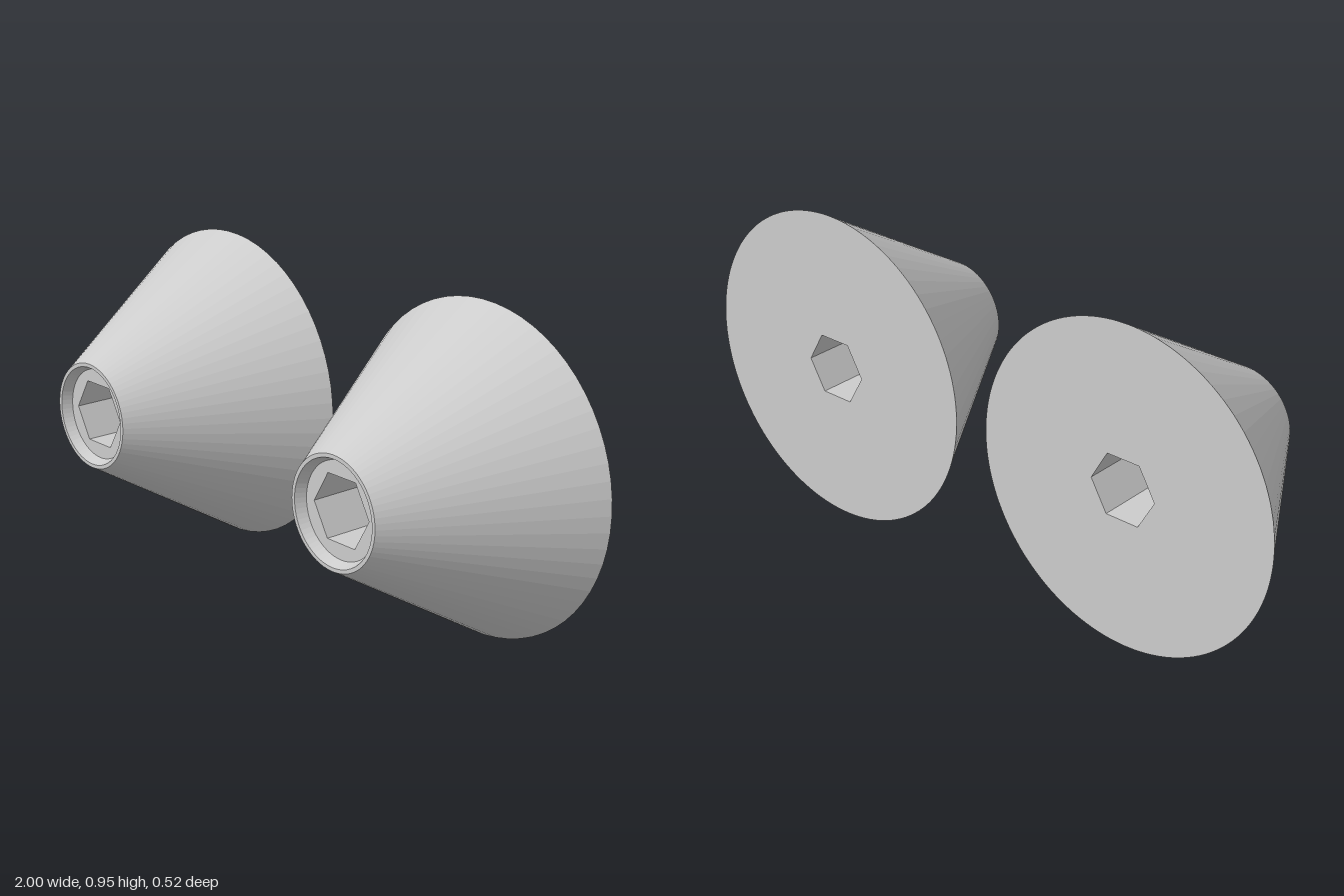
import * as THREE from 'three';

const SIDES = 64;
const H = 0.262;       // half depth of a cone
const R_BACK = 0.473;  // wide rear radius
const R_FRONT = 0.158; // narrow front radius
const R_HEX = 0.104;   // corner radius of the hexagonal bore
const R_FLOOR = 0.134; // floor of the front recess
const FLOOR_Z = H - 0.03;

const material = new THREE.MeshStandardMaterial({ color: 0xcccccc, flatShading: true });

function addMesh(group, name, geometry) {
  const mesh = new THREE.Mesh(geometry, material);
  mesh.name = name;
  group.add(mesh);
}

// Profile of [radius, z] pairs spun about the z axis
function spin(profile, sides, start = 0) {
  const points = profile.map(([r, z]) => new THREE.Vector2(r, z));
  return new THREE.LatheGeometry(points, sides, start).rotateX(Math.PI / 2);
}

// Flat disc with a hexagonal hole, facing +z
function hexWasher(radius) {
  const shape = new THREE.Shape().absarc(0, 0, radius, 0, Math.PI * 2);
  const corners = [];
  for (let i = 0; i < 6; i++) {
    const a = -i * Math.PI / 3;
    corners.push(new THREE.Vector2(R_HEX * Math.cos(a), R_HEX * Math.sin(a)));
  }
  shape.holes.push(new THREE.Path(corners));
  return new THREE.ShapeGeometry(shape, SIDES);
}

function createCone(name) {
  const cone = new THREE.Group();
  cone.name = name;
  addMesh(cone, 'coneWall', spin([[R_BACK, -H], [R_FRONT, H]], SIDES));
  // Narrow front rim, then the tapered wall of the shallow recess
  addMesh(cone, 'frontRim', spin([[R_FRONT, H], [0.147, H]], SIDES));
  addMesh(cone, 'recessWall', spin([[0.147, H], [R_FLOOR, FLOOR_Z]], SIDES));
  addMesh(cone, 'recessFloor', hexWasher(R_FLOOR).translate(0, 0, FLOOR_Z));
  // Hexagonal bore through the whole depth
  addMesh(cone, 'hexBore', spin([[R_HEX, FLOOR_Z], [R_HEX, -H]], 6, Math.PI / 2));
  addMesh(cone, 'backFace', hexWasher(R_BACK).rotateY(Math.PI).translate(0, 0, -H));
  return cone;
}

export function createModel() {
  const model = new THREE.Group();
  model.name = 'conePair';
  for (const [name, side] of [['leftCone', 1], ['rightCone', -1]]) {
    const cone = createCone(name);
    cone.position.set(side * 0.527, R_BACK, 0);
    model.add(cone);
  }
  return model;
}
